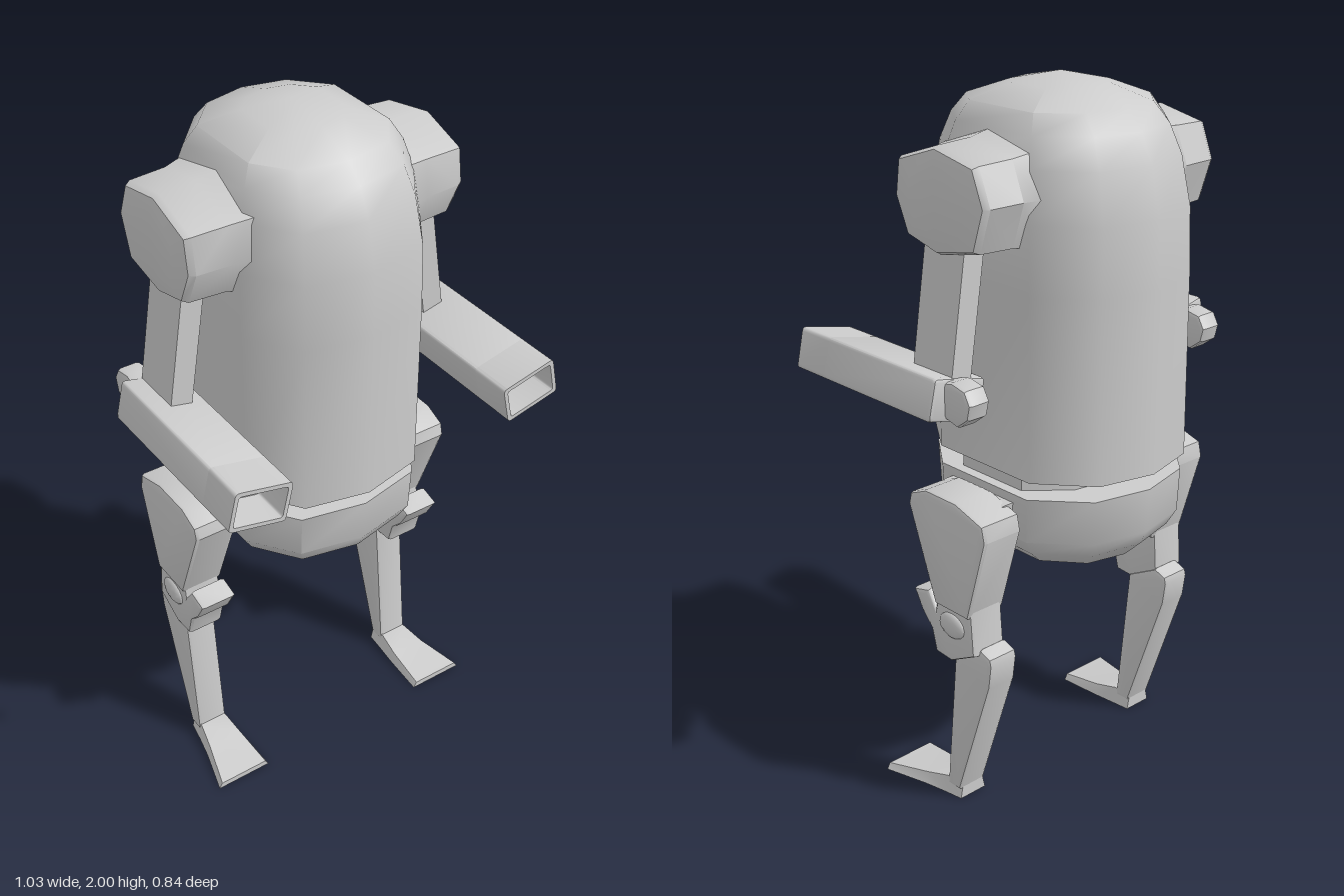
import * as THREE from 'three';
import { toCreasedNormals } from 'three/addons/utils/BufferGeometryUtils.js';

const material = new THREE.MeshStandardMaterial({ color: 0xcccccc });

function part(name, geometry, parent, crease = 0.6) {
  const mesh = new THREE.Mesh(toCreasedNormals(geometry, crease), material);
  mesh.name = name;
  parent.add(mesh);
  return mesh;
}

// Skin a list of equal-length rings (counter-clockwise about the direction of travel), capping both ends
function loft(rings) {
  const n = rings[0].length, pos = rings.flat(2), index = [];
  for (let r = 0; r < rings.length - 1; r++) {
    for (let i = 0; i < n; i++) {
      const a = r * n + i, b = r * n + (i + 1) % n;
      index.push(a, b, b + n, a, b + n, a + n);
    }
  }
  const last = (rings.length - 1) * n;
  for (let i = 1; i < n - 1; i++) index.push(0, i + 1, i, last, last + i, last + i + 1);
  const g = new THREE.BufferGeometry();
  g.setAttribute('position', new THREE.Float32BufferAttribute(pos, 3));
  g.setIndex(index);
  return g;
}

// Side profile of [z, y] points, extruded from x0 to x1 with a small bevel
function sideExtrude(points, x0, x1, bevel = 0.012) {
  const g = new THREE.ExtrudeGeometry(new THREE.Shape(points.map(p => new THREE.Vector2(...p))), {
    depth: x1 - x0 - 2 * bevel, bevelEnabled: true, bevelSize: bevel, bevelOffset: -bevel,
    bevelThickness: bevel, bevelSegments: 2,
  });
  return g.rotateY(-Math.PI / 2).translate(x1 - bevel, 0, 0);
}

// Ten-sided hull outline [x, z] shared by torso, waist and pelvis
const half = [[0, 0.355], [0.18, 0.315], [0.277, 0.175], [0.277, -0.175], [0.16, -0.315], [0, -0.355]];
const outline = [...half, ...half.slice(1, -1).reverse().map(([x, z]) => [-x, z])];
const hull = levels => loft(levels.map(([sx, sz, y, cz = -0.065]) =>
  outline.map(([x, z]) => [x * sx, y, z * sz + cz])));

function roundedRect(target, w, h, r) {
  const x = w / 2, y = h / 2;
  target.moveTo(-x + r, -y).lineTo(x - r, -y).quadraticCurveTo(x, -y, x, -y + r)
    .lineTo(x, y - r).quadraticCurveTo(x, y, x - r, y)
    .lineTo(-x + r, y).quadraticCurveTo(-x, y, -x, y - r)
    .lineTo(-x, -y + r).quadraticCurveTo(-x, -y, -x + r, -y);
  return target;
}

function buildArm() {
  const arm = new THREE.Group();

  // Eight-sided shoulder pod, flaring into the torso
  const pod = [[-0.05, 1.87], [0.1, 1.82], [0.115, 1.72], [0.07, 1.62],
    [-0.05, 1.59], [-0.2, 1.62], [-0.24, 1.74], [-0.2, 1.84]];
  const podLevels = [[0.2, 1.12], [0.25, 1.06], [0.29, 1], [0.392, 0.97], [0.408, 0.91], [0.418, 0.6]];
  part('shoulder', loft(podLevels.map(([x, s]) =>
    pod.map(([z, y]) => [x, 1.73 + (y - 1.73) * s, -0.065 + (z + 0.065) * s]))), arm, 0.7);

  // Upper arm leaning outward
  part('upperArm', loft([[0.41, 1.25], [0.35, 1.64]].map(([x, y]) =>
    [[-1, 0.02], [1, 0.02], [1, -0.13], [-1, -0.13]].map(([s, z]) => [x + s * 0.032, y, z]))), arm);

  // Forearm: tilted housing with an open, recessed front
  const forearm = new THREE.Group();
  forearm.name = 'forearm';
  forearm.position.set(0.422, 1.242, 0);
  forearm.rotation.z = 0.225;
  arm.add(forearm);
  const shell = roundedRect(new THREE.Shape(), 0.168, 0.114, 0.012);
  shell.holes.push(roundedRect(new THREE.Path(), 0.145, 0.09, 0.008));
  part('forearmShell', new THREE.ExtrudeGeometry(shell, { depth: 0.12, bevelEnabled: false, curveSegments: 3 })
    .translate(0, 0, 0.3), forearm);
  part('forearmBody', new THREE.ExtrudeGeometry(roundedRect(new THREE.Shape(), 0.168, 0.114, 0.012), {
    depth: 0.425, bevelThickness: 0.012, bevelSize: 0.01, bevelOffset: -0.01, bevelSegments: 2, curveSegments: 3,
  }).translate(0, 0, -0.125), forearm);

  // Elbow block behind the forearm
  part('elbow', sideExtrude([[-0.1, 1.2], [-0.1, 1.29], [-0.16, 1.305], [-0.21, 1.295],
    [-0.23, 1.26], [-0.22, 1.22], [-0.18, 1.19], [-0.14, 1.2]].reverse(), 0.395, 0.465), arm);
  return arm;
}

function buildLeg() {
  const leg = new THREE.Group();

  part('hip', sideExtrude([[0.05, 0.83], [0.06, 0.93], [-0.18, 0.93], [-0.17, 0.83]], 0.22, 0.32), leg);

  part('thigh', sideExtrude([[-0.016, 0.62], [-0.15, 0.62], [-0.225, 0.87], [-0.215, 0.915],
    [-0.11, 0.947], [0.01, 0.947], [0.074, 0.92], [0.083, 0.885]], 0.29, 0.42), leg);

  // Knee joint with a pointed front guard
  part('knee', sideExtrude([[0.082, 0.628], [0.05, 0.57], [0.012, 0.53], [-0.005, 0.465], [-0.07, 0.46],
    [-0.165, 0.51], [-0.155, 0.65], [-0.016, 0.65], [-0.01, 0.6], [0.02, 0.645]], 0.3, 0.412), leg);
  const bolt = part('kneeBolt', new THREE.SphereGeometry(1, 12, 8), leg, 1);
  bolt.scale.set(0.016, 0.037, 0.052);
  bolt.position.set(0.41, 0.575, -0.08);

  part('shin', sideExtrude([[-0.06, 0.47], [-0.165, 0.525], [-0.205, 0.51], [-0.21, 0.49],
    [-0.2, 0.42], [-0.066, 0.03], [-0.015, 0.03]], 0.295, 0.39), leg);

  // Foot widening and thinning toward the toe: [z, inner x, outer x, height]
  const sections = [[-0.068, 0.295, 0.385, 0.045], [-0.01, 0.29, 0.395, 0.05],
    [0.06, 0.283, 0.41, 0.034], [0.19, 0.275, 0.447, 0.018]];
  part('foot', loft(sections.map(([z, a, b, h]) => [[a, 0, z], [b, 0, z], [b - 0.01, h, z], [a + 0.01, h, z]])), leg, 0.4);
  return leg;
}

export function createModel() {
  const model = new THREE.Group();
  model.name = 'walkerRobot';

  // Capsule-shaped torso, narrow waist and bowl-shaped pelvis
  part('torso', hull([[1, 1, 1.003], [0.995, 0.995, 1.5], [0.98, 0.98, 1.68], [0.92, 0.9, 1.81],
    [0.84, 0.8, 1.885], [0.74, 0.67, 1.935], [0.4, 0.35, 1.975], [0.01, 0.01, 2]]), model, 0.8);
  part('waist', hull([[0.9, 0.66, 0.93], [0.9, 0.66, 1.01]]), model, 0.8);
  part('pelvis', hull([[0.01, 0.01, 0.678], [0.4, 0.45, 0.7], [0.7, 0.72, 0.735], [0.9, 0.87, 0.785],
    [1, 0.94, 0.83], [1.01, 0.96, 0.955]]), model, 0.8);

  // Limbs, built on the left and mirrored to the right
  for (const [name, build] of [['Arm', buildArm], ['Leg', buildLeg]]) {
    for (const [side, s] of [['left', 1], ['right', -1]]) {
      const limb = build();
      limb.name = side + name;
      limb.scale.x = s;
      model.add(limb);
    }
  }
  return model;
}
